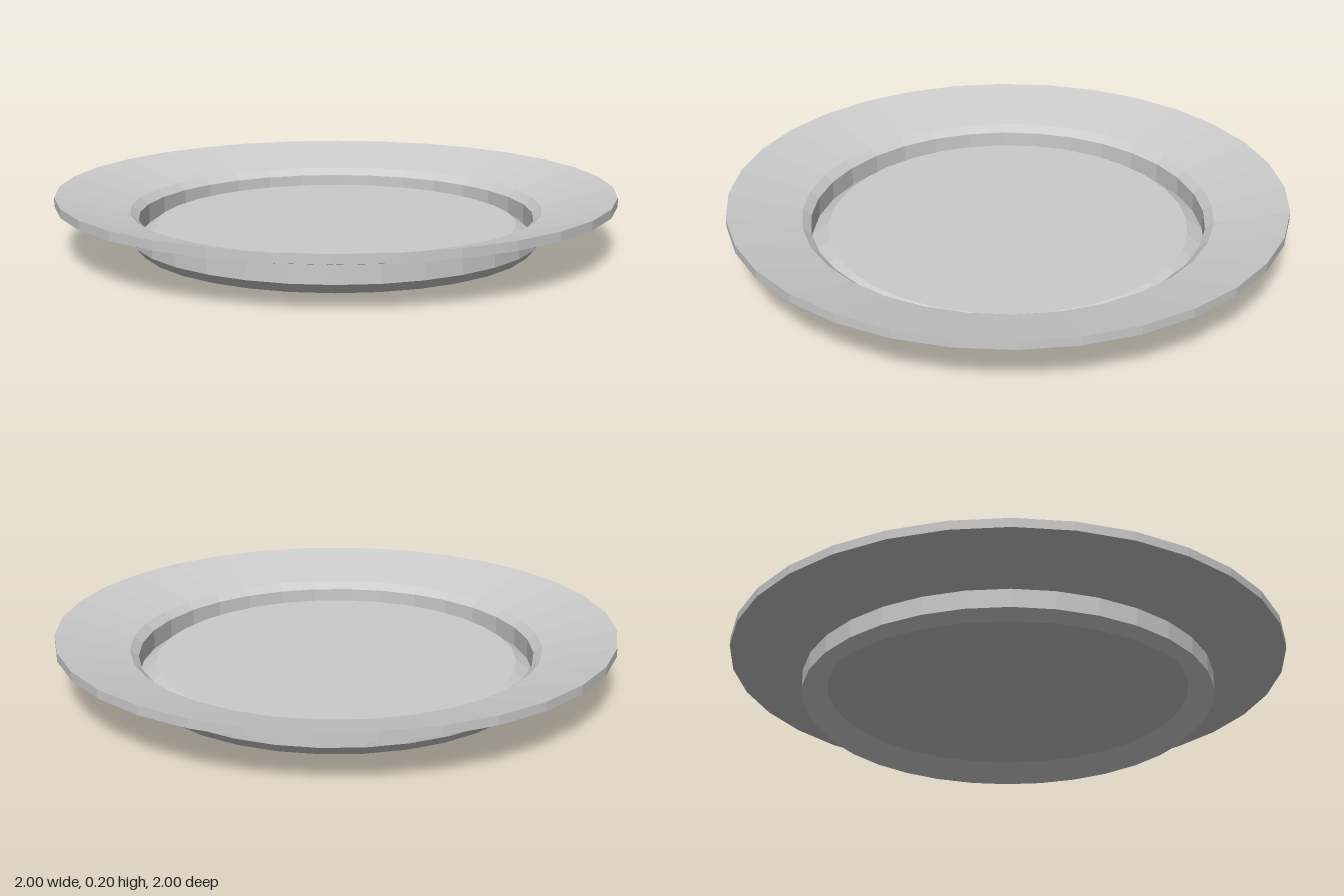
import * as THREE from 'three';

const SIDES = 32;

// Revolve a list of [radius, height] points into a faceted mesh
function turned(name, profile, material) {
  const points = profile.map(([r, y]) => new THREE.Vector2(r, y));
  const mesh = new THREE.Mesh(new THREE.LatheGeometry(points, SIDES), material);
  mesh.name = name;
  return mesh;
}

export function createModel() {
  const group = new THREE.Group();
  group.name = 'plate';
  const material = new THREE.MeshStandardMaterial({
    color: 0xcccccc, flatShading: true, side: THREE.DoubleSide,
  });

  // Recessed underside and the chamfered foot
  group.add(turned('foot', [
    [0, 0.07], [0.65, 0.07], [0.71, 0], [0.74, 0.035], [0.74, 0.1],
  ], material));

  // Wide sloping rim with a thin vertical edge
  group.add(turned('rim', [
    [0.74, 0.1], [1, 0.168], [1, 0.2], [0.74, 0.132],
  ], material));

  // Inner lip, wall, groove and the raised flat floor
  group.add(turned('well', [
    [0.74, 0.132], [0.71, 0.106], [0.71, 0.035], [0.65, 0.077], [0, 0.077],
  ], material));

  return group;
}
